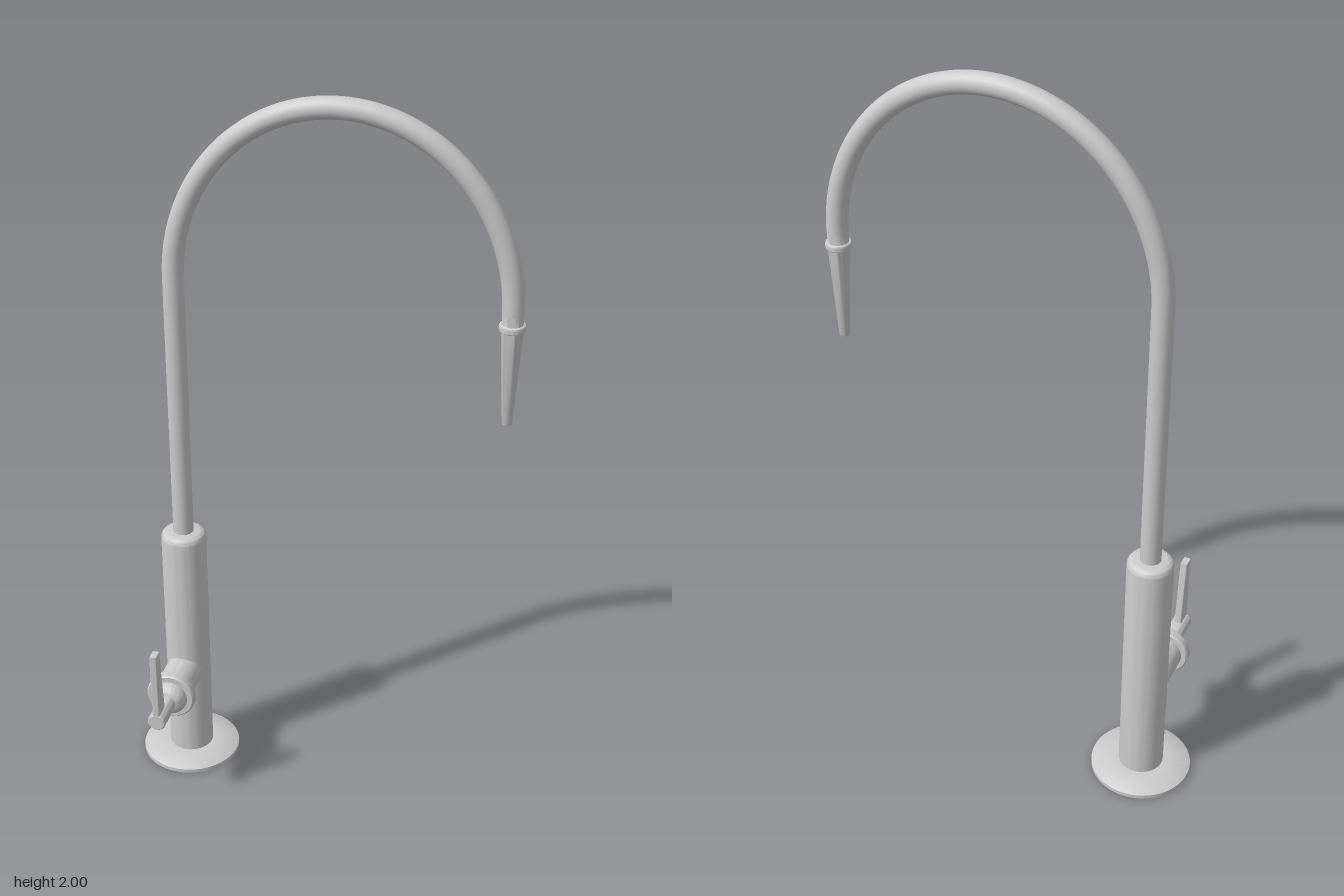
import * as THREE from 'three';
import { toCreasedNormals } from 'three/addons/utils/BufferGeometryUtils.js';

const AXIS_X = -0.383, AXIS_Z = -0.08; // vertical axis of the column
const END_X = 0.484;                   // vertical axis of the outlet
const TUBE_R = 0.028;
const VALVE_Y = 0.295;

const material = new THREE.MeshStandardMaterial({ color: 0xcccccc });

function part(name, geometry, x = 0, y = 0, z = 0) {
  const mesh = new THREE.Mesh(geometry, material);
  mesh.name = name;
  mesh.position.set(x, y, z);
  return mesh;
}

// Turned part from [radius, height] pairs, sharp where the profile turns sharply
function turned(points, segments = 64) {
  const profile = points.map(([r, y]) => new THREE.Vector2(r, y));
  return toCreasedNormals(new THREE.LatheGeometry(profile, segments), 0.6);
}

// Quarter-round edge ending at the given outer radius and top height
function roundEdge(radius, top, r, steps = 6) {
  return Array.from({ length: steps + 1 }, (_, i) => {
    const a = (i / steps) * Math.PI / 2;
    return [radius - r + r * Math.cos(a), top - r + r * Math.sin(a)];
  });
}

// Straight riser followed by a half-ellipse arch
class SpoutCurve extends THREE.Curve {
  getPoint(t, target = new THREE.Vector3()) {
    const low = 0.7, spring = 1.492, rx = (END_X - AXIS_X) / 2, ry = 0.48;
    const mid = (END_X + AXIS_X) / 2, split = 0.35;
    if (t < split) return target.set(AXIS_X, low + (spring - low) * t / split, AXIS_Z);
    const a = Math.PI * (1 - (t - split) / (1 - split));
    return target.set(mid + rx * Math.cos(a), spring + ry * Math.sin(a), AXIS_Z);
  }
}

export function createModel() {
  const model = new THREE.Group();
  model.name = 'tap';

  // Flange with a hole underneath
  model.add(part('baseFlange', turned([
    [0.053, 0], [0.1375, 0], [0.1375, 0.011], [0.133, 0.014], [0.075, 0.024], [0.055, 0.024],
  ], 72), AXIS_X, 0, AXIS_Z));

  // Hollow column with a rounded shoulder
  model.add(part('column', turned([
    [0.053, 0.002], [0.0615, 0.012], ...roundEdge(0.0615, 0.738, 0.02), [0, 0.738],
  ]), AXIS_X, 0, AXIS_Z));
  model.add(part('columnBore', turned([[0, 0.7], [0.053, 0.7], [0.053, 0]]), AXIS_X, 0, AXIS_Z));

  // Gooseneck
  model.add(part('spout', new THREE.TubeGeometry(new SpoutCurve(), 140, TUBE_R, 28), 0, 0, 0));

  // Tapered outlet with collar and a shallow bore
  model.add(part('nozzle', turned([
    [0, 1.21], [0.009, 1.21], [0.009, 1.187], [0.012, 1.187], [0.0135, 1.19],
    [0.028, 1.445], [0.032, 1.447], [0.034, 1.451], [0.034, 1.459],
    [0.032, 1.463], [0.027, 1.465], [0.027, 1.495],
  ], 40), END_X, 0, AXIS_Z));

  // Valve, turned along z
  const valve = new THREE.Group();
  valve.name = 'valve';
  valve.position.set(AXIS_X, VALVE_Y, 0);
  const alongZ = (points) => turned(points, 48).rotateX(Math.PI / 2);
  valve.add(part('valveBarrel', alongZ([[0, -0.06], [0.051, -0.06], [0.051, 0.07]])));
  valve.add(part('valveCollar', alongZ([
    [0.045, 0.064], [0.064, 0.064], [0.068, 0.068], [0.068, 0.088], [0.064, 0.092], [0.045, 0.092],
  ])));
  valve.add(part('valveBonnet', alongZ([
    [0.049, 0.09], [0.049, 0.098], [0.046, 0.106], [0.036, 0.121], [0.033, 0.123], [0, 0.123],
  ])));
  valve.add(part('handleStem', alongZ([
    [0.025, 0.115], [0.025, 0.211], [0.022, 0.214], [0, 0.214],
  ])));

  // Tapered lever blade with softened edges, drawn as (z, y)
  const b = 0.004;
  const blade = new THREE.Shape([
    [0.165, -0.012], [0.213 - b, -0.012], [0.217 - b, 0.221 - b], [0.186 + b, 0.221 - b],
  ].map(([z, y]) => new THREE.Vector2(z, y)));
  const lever = new THREE.ExtrudeGeometry(blade, {
    depth: 0.012, bevelThickness: b, bevelSize: b, bevelSegments: 3,
  });
  lever.translate(0, 0, -0.006).rotateY(-Math.PI / 2);
  valve.add(part('leverHandle', toCreasedNormals(lever, 0.6)));
  model.add(valve);

  return model;
}
